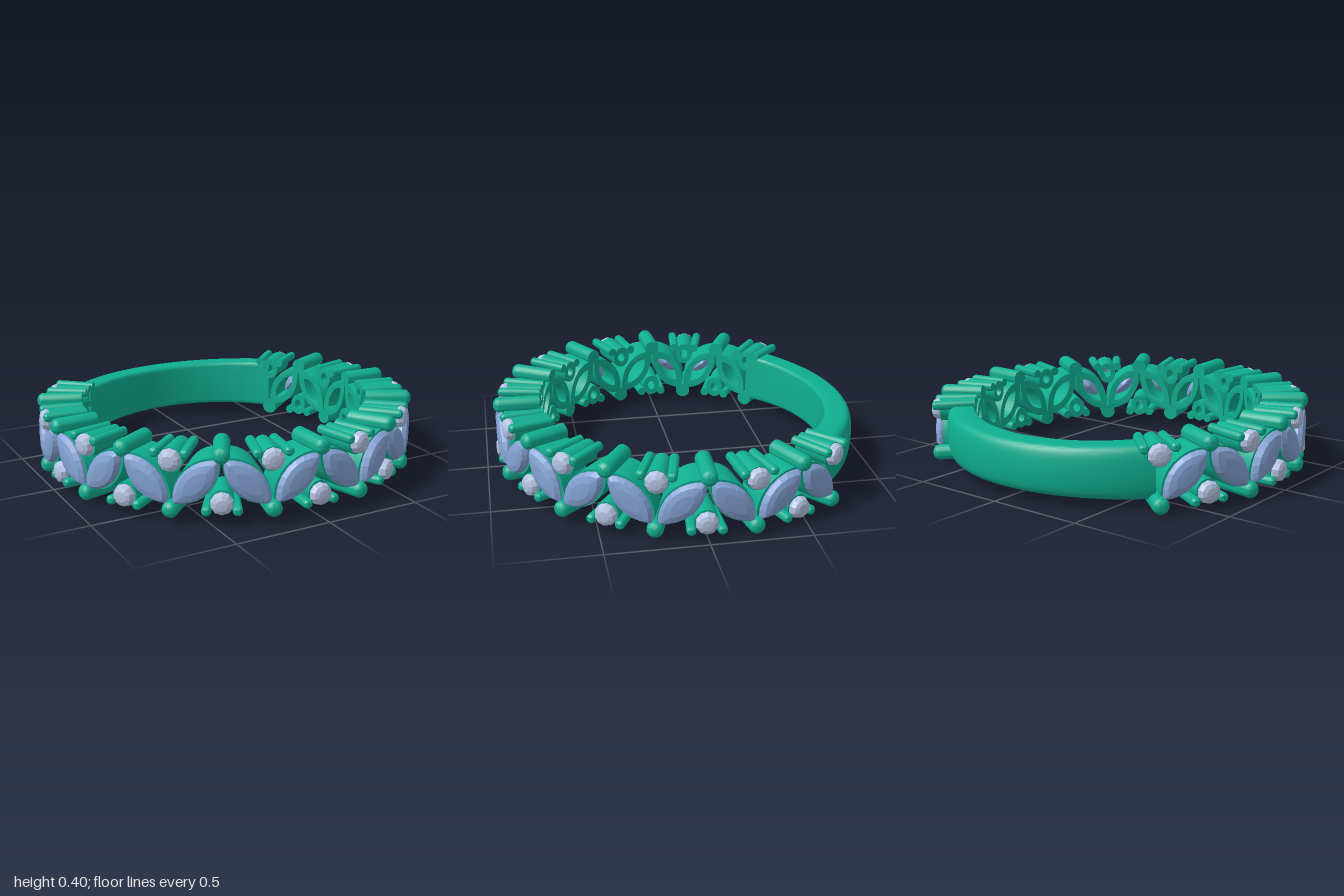
import * as THREE from 'three';
import { toCreasedNormals } from 'three/addons/utils/BufferGeometryUtils.js';

const STEP = THREE.MathUtils.degToRad(14.5); // angle between main prongs
const INNER = 0.76, R = 0.95;
const V2 = (x, y) => new THREE.Vector2(x, y);

const metal = new THREE.MeshStandardMaterial({ color: 0x0fae90 });
const blueGem = new THREE.MeshStandardMaterial({ color: 0x84a3d4, flatShading: true });
const paleGem = new THREE.MeshStandardMaterial({ color: 0xb4c3e2, flatShading: true });

// Pointed oval rule: unit circle direction -> outline of half length a, half width b
function marquisePoint(c, s, a, b) {
  return V2(a * c, b * s * Math.pow(Math.abs(s), 0.6));
}

function outline(PathClass, a, b, round) {
  const pts = [];
  for (let i = 0; i < 28; i++) {
    const t = (i / 28) * Math.PI * 2, c = Math.cos(t), s = Math.sin(t);
    pts.push(round ? V2(a * c, b * s) : marquisePoint(c, s, a, b));
  }
  return new PathClass(pts);
}

// Bends flat (u, v, radius) coordinates around the ring axis
function wrap(geo) {
  const p = geo.attributes.position;
  for (let i = 0; i < p.count; i++) {
    const ang = p.getX(i) / R, r = p.getZ(i);
    p.setXYZ(i, r * Math.sin(ang), p.getY(i), r * Math.cos(ang));
  }
  return toCreasedNormals(geo, 0.6);
}

// Open gem seat running from the inner wall out to the gem girdle
function seatGeometry(a, b, holeA, holeB, round, turn, v, top) {
  const shape = outline(THREE.Shape, a, b, round);
  shape.holes.push(outline(THREE.Path, holeA, holeB, round));
  const geo = new THREE.ExtrudeGeometry(shape, { depth: top - INNER, bevelEnabled: false });
  geo.rotateZ(turn);
  geo.translate(0, v, INNER);
  return wrap(geo);
}

// Radial prong with a rounded outer end
function prongGeometry(radius, end) {
  const pts = [V2(0, INNER), V2(radius, INNER)];
  for (let i = 0; i <= 6; i++) {
    const t = (i / 6) * Math.PI / 2;
    pts.push(V2(radius * Math.cos(t), end - radius * 0.8 + radius * 0.8 * Math.sin(t)));
  }
  const geo = new THREE.LatheGeometry(pts, 18);
  geo.rotateX(Math.PI / 2);
  return toCreasedNormals(geo, 0.8);
}

// Faceted gem: pavilion, girdle, crown and table
function gemGeometry(a, b, round, turn, sides) {
  const pts = [V2(0, 0.86), V2(0.96, 0.945), V2(1, 0.958), V2(0.84, 0.98), V2(0.5, 0.989), V2(0, 0.991)];
  const geo = new THREE.LatheGeometry(pts, sides);
  geo.rotateX(Math.PI / 2);
  const p = geo.attributes.position;
  for (let i = 0; i < p.count; i++) {
    const x = p.getX(i), y = p.getY(i), h = Math.hypot(x, y) || 1;
    const q = round ? V2(a * x / h, b * y / h) : marquisePoint(x / h, y / h, a, b);
    const k = Math.hypot(x, y);
    p.setXY(i, q.x * k, q.y * k);
  }
  geo.rotateZ(turn);
  return geo;
}

// Plain domed shank across the back
function shankGeometry() {
  const s = new THREE.Shape();
  const h = 0.13;
  s.moveTo(INNER + 0.02, -h);
  s.lineTo(0.86, -h);
  s.bezierCurveTo(0.89, -h, 0.9, -0.1, 0.905, -0.07);
  s.quadraticCurveTo(0.915, 0, 0.905, 0.07);
  s.bezierCurveTo(0.9, 0.1, 0.89, h, 0.86, h);
  s.lineTo(INNER + 0.02, h);
  s.quadraticCurveTo(INNER, h, INNER, h - 0.025);
  s.lineTo(INNER, -h + 0.025);
  s.quadraticCurveTo(INNER, -h, INNER + 0.02, -h);
  const half = THREE.MathUtils.degToRad(49);
  const geo = new THREE.ExtrudeGeometry(s, { depth: 1, steps: 56, curveSegments: 8, bevelEnabled: false });
  const p = geo.attributes.position;
  for (let i = 0; i < p.count; i++) {
    const t = 1 - 2 * p.getZ(i), ang = Math.PI + half * t, r = p.getX(i);
    p.setXYZ(i, r * Math.sin(ang), p.getY(i) * (0.94 + 0.1 * t * t), r * Math.cos(ang));
  }
  return toCreasedNormals(geo, 0.6);
}

export function createModel() {
  const model = new THREE.Group();
  model.name = 'ring';
  const ring = new THREE.Group();
  ring.name = 'band';
  ring.position.set(0, 0.19, -0.045);
  ring.rotation.x = -0.025;
  model.add(ring);

  const add = (parent, name, geo, mat, x = 0, y = 0) => {
    const mesh = new THREE.Mesh(geo, mat);
    mesh.name = name;
    mesh.position.set(x, y, 0);
    parent.add(mesh);
    return mesh;
  };
  add(ring, 'shank', shankGeometry(), metal);

  const mainProng = prongGeometry(0.041, 1.0);
  const smallProng = prongGeometry(0.024, 0.985);
  const roundGem = gemGeometry(0.057, 0.057, true, 0, 10);
  const roundSeat = [-1, 1].map(s => seatGeometry(0.06, 0.06, 0.027, 0.027, true, 0, s * 0.1, 0.945));
  const longGem = [-1, 1].map(s => gemGeometry(0.152, 0.074, false, s * Math.PI / 4, 20));
  const longSeat = [-1, 1].map(s => seatGeometry(0.158, 0.08, 0.095, 0.04, false, s * Math.PI / 4, 0, 0.945));

  // Main prongs zigzag between the edges, each facing a small round gem
  for (let k = -9; k <= 9; k++) {
    const side = k % 2 === 0 ? 1 : -1;
    const unit = new THREE.Group();
    unit.name = 'roundSetting';
    unit.rotation.y = k * STEP;
    ring.add(unit);
    add(unit, 'mainProng', mainProng, metal, 0, side * 0.137);
    add(unit, 'roundSeat', roundSeat[side > 0 ? 0 : 1], metal);
    add(unit, 'roundGem', roundGem, paleGem, 0, -side * 0.103);
    for (const m of [-1, 1]) {
      const prong = add(unit, 'smallProng', smallProng, metal, 0, -side * 0.138);
      prong.rotation.y = m * 0.077;
    }
  }

  // Slanted pointed oval gems between neighbouring prongs
  for (let k = -9; k < 9; k++) {
    const lean = k % 2 === 0 ? 0 : 1;
    const unit = new THREE.Group();
    unit.name = 'marquiseSetting';
    unit.rotation.y = (k + 0.5) * STEP;
    ring.add(unit);
    add(unit, 'marquiseSeat', longSeat[lean], metal);
    add(unit, 'marquiseGem', longGem[lean], blueGem);
  }
  return model;
}
